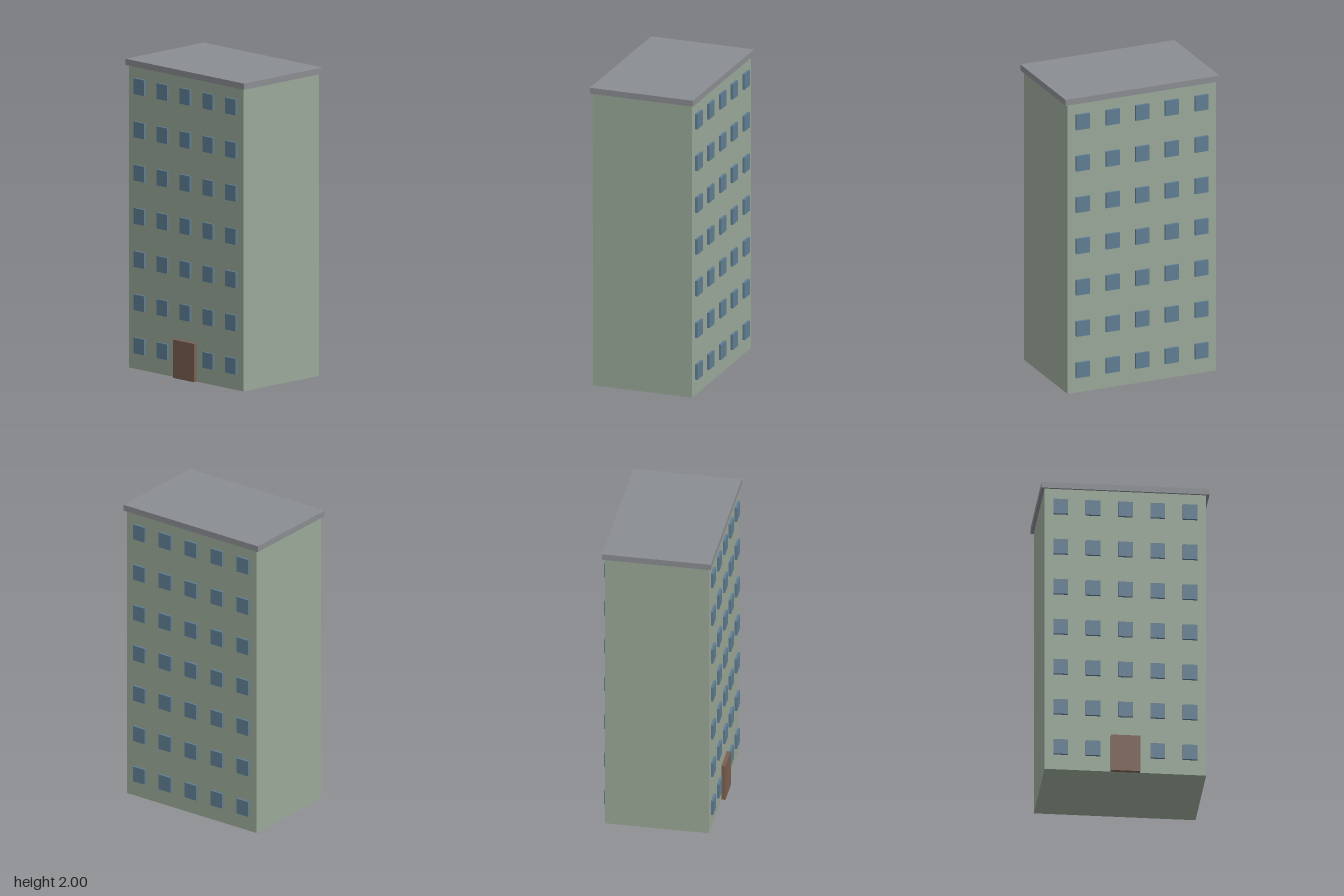
import * as THREE from 'three';

const material = (name, color) => {
  const m = new THREE.MeshStandardMaterial({ color });
  m.name = name;
  return m;
};

export function createModel() {
  const group = new THREE.Group();
  group.name = 'apartmentBlock';

  const wall = material('sage wall', 0x9aa898);
  const slab = material('grey roof', 0x8a8d91);
  const glass = material('blue glass', 0x5f7d92);
  const wood = material('brown door', 0x7a5f50);

  const box = (name, mat, [w, h, d], [x, y, z], parent = group) => {
    const mesh = new THREE.Mesh(new THREE.BoxGeometry(w, h, d), mat);
    mesh.name = name;
    mesh.position.set(x, y, z);
    parent.add(mesh);
  };

  const floors = 7, columns = 5, floorHeight = 0.28;
  const height = floors * floorHeight, depth = 0.672, midZ = -0.006;

  // Main block, overhanging roof slab and entrance
  box('walls', wall, [1.03, height, depth], [0, height / 2, midZ]);
  box('roof', slab, [1.07, 0.04, 0.70], [0, height + 0.02, midZ]);
  box('door', wood, [0.186, 0.248, 0.036], [0, 0.124, 0.338]);

  // Window grid on the front and back; the door takes the middle front bay
  for (const side of [1, -1]) {
    const windows = new THREE.Group();
    windows.name = side > 0 ? 'frontWindows' : 'backWindows';
    group.add(windows);
    for (let f = 0; f < floors; f++) {
      for (let c = 0; c < columns; c++) {
        const x = (c - (columns - 1) / 2) * 0.206;
        if (side > 0 && f === 0 && x === 0) continue;
        box('window', glass, [0.093, 0.102, 0.032],
          [x, 0.154 + f * floorHeight, midZ + side * depth / 2], windows);
      }
    }
  }
  return group;
}
